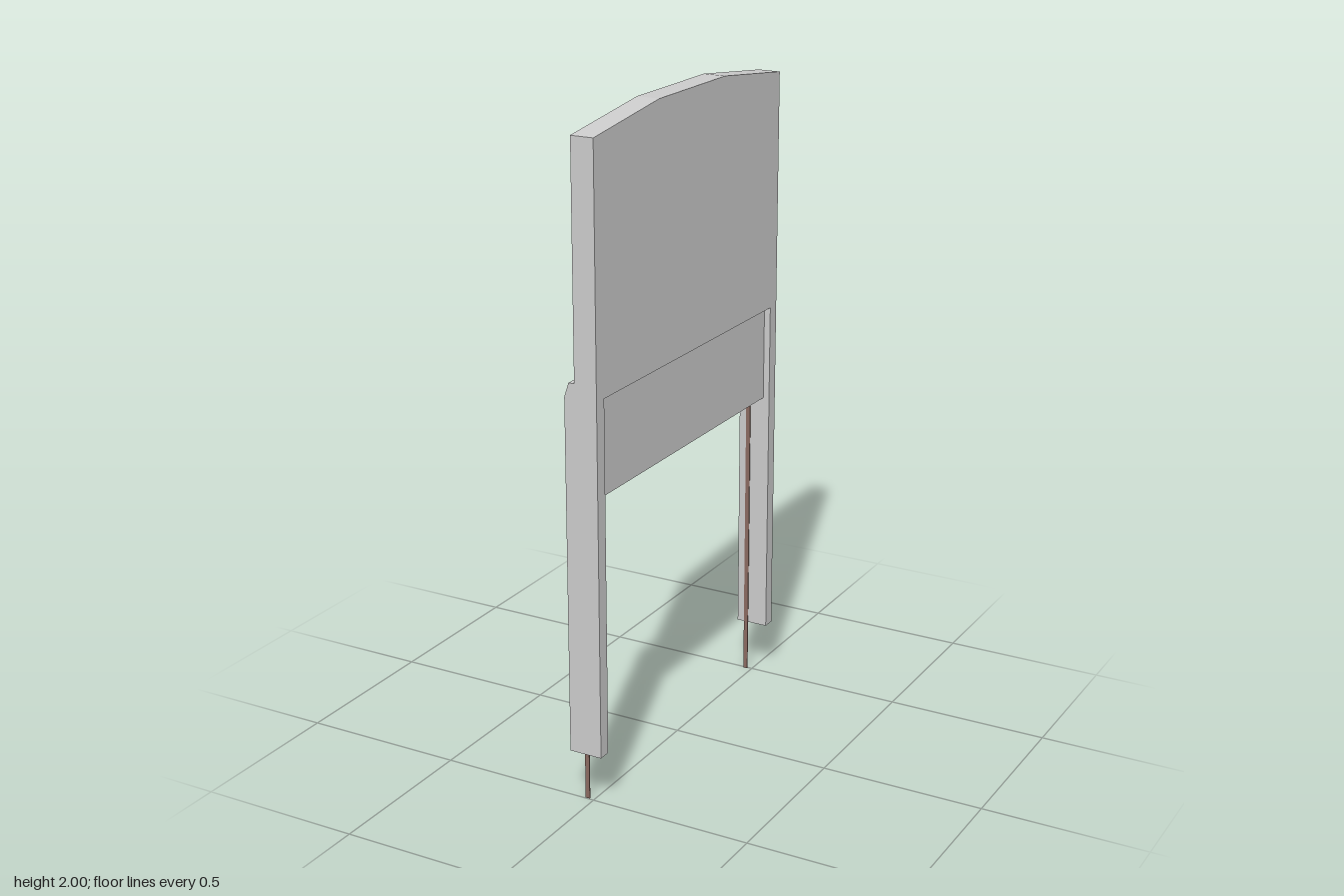
import * as THREE from 'three';

const grey = new THREE.MeshStandardMaterial({ color: 0xcccccc, flatShading: true });
const brown = new THREE.MeshStandardMaterial({ color: 0x8a6a60, flatShading: true });

const HALF = 0.537;   // half of the overall length along z
const INNER = 0.497;  // inner faces of the posts
const FOOT = 0.165;   // underside of the posts
const HEAD = 1.235;   // underside of the header
const SHELF = 1.278;  // top of the header

// Extrude an outline of [x, y] points along z, from z0 to z1
function prism(name, points, z0, z1) {
  const shape = new THREE.Shape(points.map(([x, y]) => new THREE.Vector2(x, y)));
  const geometry = new THREE.ExtrudeGeometry(shape, { depth: z1 - z0, bevelEnabled: false });
  geometry.translate(0, 0, z0);
  const mesh = new THREE.Mesh(geometry, grey);
  mesh.name = name;
  return mesh;
}

// Box given by its limits on each axis
function block(name, x0, x1, y0, y1, z0, z1, material) {
  const mesh = new THREE.Mesh(new THREE.BoxGeometry(x1 - x0, y1 - y0, z1 - z0), material);
  mesh.position.set((x0 + x1) / 2, (y0 + y1) / 2, (z0 + z1) / 2);
  mesh.name = name;
  return mesh;
}

// Side outline shared by posts and header, with a sloped shoulder on -x
const frameProfile = (bottom) => [
  [-0.052, bottom], [0.05, bottom], [0.05, SHELF], [-0.038, SHELF], [-0.052, HEAD],
];

export function createModel() {
  const model = new THREE.Group();
  model.name = 'panelledFrame';

  // Upper panel with a faceted crown
  const panel = prism('upperPanel', [
    [-HALF, SHELF], [HALF, SHELF], [HALF, 1.957], [0.19, 2], [-0.19, 2], [-HALF, 1.957],
  ], -0.035, 0.035);
  panel.rotation.y = Math.PI / 2;
  panel.position.x = 0.015;
  model.add(panel);

  // Header between the posts
  model.add(prism('header', frameProfile(HEAD), -INNER, INNER));

  // Posts and the thin guide strips along their inner faces
  for (const side of [-1, 1]) {
    const label = side > 0 ? 'front' : 'back';
    const ends = [side * INNER, side * HALF].sort((a, b) => a - b);
    model.add(prism(label + 'Post', frameProfile(FOOT), ends[0], ends[1]));
    const strip = [side * (INNER - 0.003), side * INNER].sort((a, b) => a - b);
    model.add(block(label + 'GuideStrip', -0.028, -0.014, 0, 0.945, strip[0], strip[1], brown));
  }

  // Recessed panel hanging below the header
  model.add(block('recessedPanel', -0.033, 0.03, 0.94, HEAD, -INNER, INNER, grey));

  return model;
}
